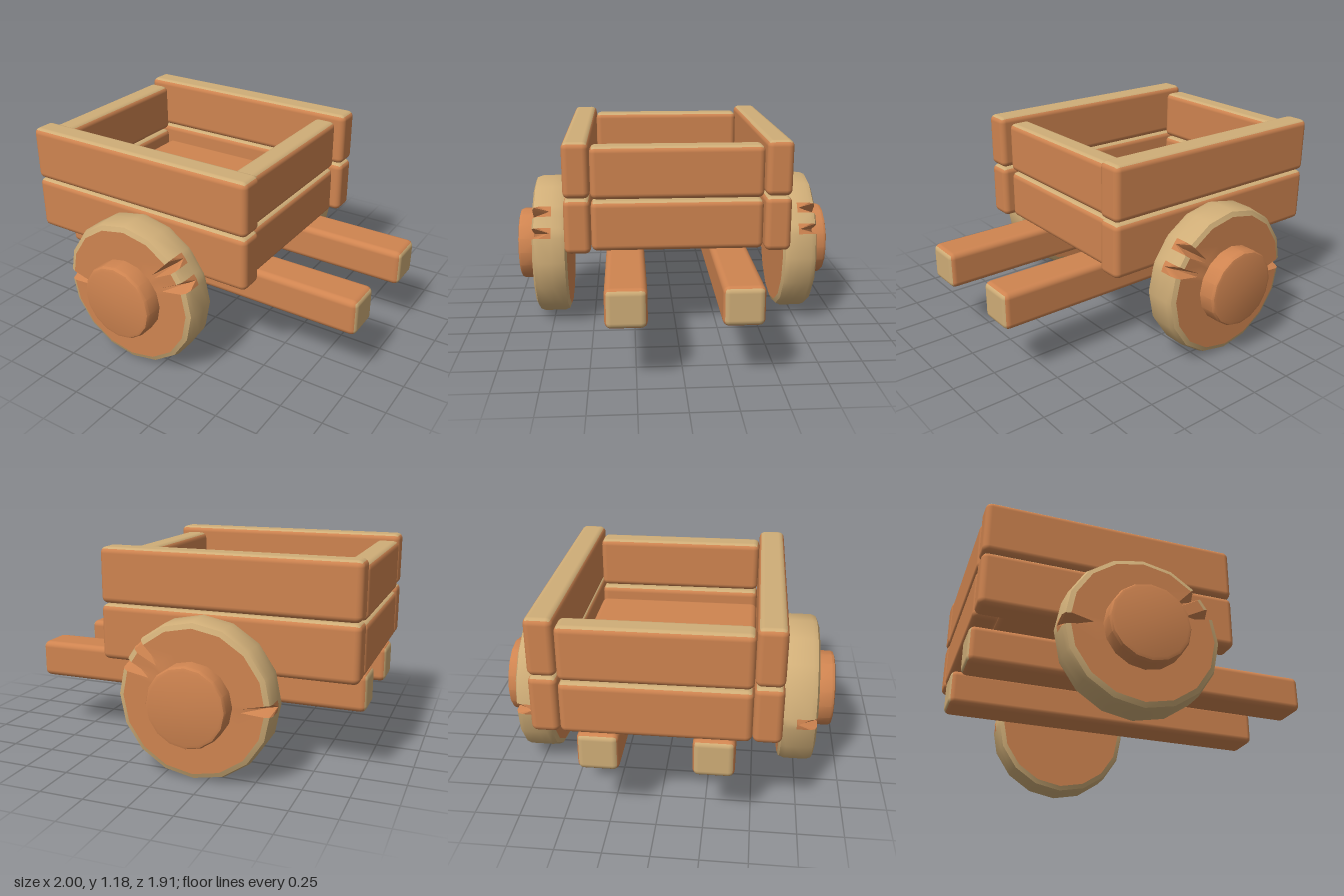
import * as THREE from 'three';
import { toCreasedNormals } from 'three/addons/utils/BufferGeometryUtils.js';
import { RoundedBoxGeometry } from 'three/addons/geometries/RoundedBoxGeometry.js';

const wood = new THREE.MeshStandardMaterial({ color: 0xcf8450 });
wood.name = 'brown wood';
const cutWood = new THREE.MeshStandardMaterial({ color: 0xcfad77 });
cutWood.name = 'pale cut wood';

// Rounded plank from min/max corners; cut lists the pale faces (+x -x +y -y +z -z)
function plank(name, [x0, x1], [y0, y1], [z0, z1], cut = []) {
  const geo = new RoundedBoxGeometry(x1 - x0, y1 - y0, z1 - z0, 3, 0.035);
  const mats = [0, 1, 2, 3, 4, 5].map((i) => (cut.includes(i) ? cutWood : wood));
  const mesh = new THREE.Mesh(geo, mats);
  mesh.name = name;
  mesh.position.set((x0 + x1) / 2, (y0 + y1) / 2, (z0 + z1) / 2);
  return mesh;
}

const SIDES = 16, STEP = (Math.PI * 2) / SIDES;
const NOTCHES = [24, 42, 180].map(THREE.MathUtils.degToRad);
const HALF = 0.075; // half angle of a notch

// Sixteen-sided wheel with three splits in its outer face; s is +1 or -1 along z
function wheel(s) {
  // rings from the inner face to the outer face: radius, z, notch depth
  const rings = [
    [0.001, 0, 0], [0.395, 0, 0], [0.422, 0.012, 0], [0.433, 0.04, 0], [0.433, 0.09, 0],
    [0.433, 0.165, 0.065], [0.422, 0.193, 0.085], [0.395, 0.205, 0.08], [0.27, 0.205, 0], [0.001, 0.205, 0],
  ];
  // columns: polygon corners plus three per notch
  const columns = [];
  for (let i = 0; i < SIDES; i++) {
    const a = i * STEP;
    if (!NOTCHES.some((n) => Math.abs(n - a) < HALF + 0.01)) columns.push({ a, deep: false });
  }
  for (const n of NOTCHES) {
    for (const k of [-1, 0, 1]) columns.push({ a: n + k * HALF, deep: k === 0 });
  }
  columns.sort((p, q) => p.a - q.a);

  const pos = [], rim = [], faces = [], n = columns.length;
  rings.forEach(([r, z, depth]) => {
    for (const { a, deep } of columns) {
      const off = (a % STEP) - STEP / 2;
      const rr = (r * Math.cos(STEP / 2)) / Math.cos(off);
      pos.push(rr * Math.cos(a), rr * Math.sin(a), s * (z - (deep ? depth : 0)));
    }
  });
  for (let j = 0; j < rings.length - 1; j++) {
    for (let i = 0; i < n; i++) {
      const k = (i + 1) % n;
      const a = j * n + i, b = j * n + k, c = a + n, d = b + n;
      const split = (columns[i].deep || columns[k].deep) && j >= 4;
      const list = j >= 1 && j <= 6 && !split ? rim : faces;
      if (s > 0) list.push(a, b, d, a, d, c);
      else list.push(a, d, b, a, c, d);
    }
  }
  const group = new THREE.Group();
  for (const [name, index, mat] of [['wheelRim', rim, cutWood], ['wheelFaces', faces, wood]]) {
    const geo = new THREE.BufferGeometry();
    geo.setAttribute('position', new THREE.Float32BufferAttribute(pos, 3));
    geo.setIndex(index);
    const mesh = new THREE.Mesh(toCreasedNormals(geo, 0.6), mat);
    mesh.name = name;
    group.add(mesh);
  }

  // Hub cap with a softened outer edge
  const profile = [[0, -0.01], [0.222, -0.01], [0.222, 0.085], [0.214, 0.1], [0.198, 0.105], [0, 0.105]];
  const lathe = new THREE.LatheGeometry(profile.map(([x, y]) => new THREE.Vector2(x, y)), SIDES);
  const hub = new THREE.Mesh(toCreasedNormals(lathe, 0.6), wood);
  hub.name = 'hub';
  hub.rotation.x = (s * Math.PI) / 2;
  hub.position.z = s * 0.205;
  group.add(hub);
  return group;
}

export function createModel() {
  const cart = new THREE.Group();
  cart.name = 'cart';

  // Cart bed
  cart.add(plank('floor', [-0.85, 0.265], [0.6, 0.77], [-0.49, 0.49]));

  // Two courses of boards at each end
  for (const [y0, y1] of [[0.55, 0.84], [0.85, 1.15]]) {
    cart.add(plank('rearBoard', [-1, -0.86], [y0, y1], [-0.49, 0.49], [2]));
    cart.add(plank('frontBoard', [0.265, 0.405], [y0, y1], [-0.49, 0.49], [2]));
  }

  // Side boards, shafts and wheels, mirrored across z
  for (const s of [1, -1]) {
    const span = (a, b) => (s > 0 ? [a, b] : [-b, -a]);
    for (const [y0, y1] of [[0.55, 0.865], [0.87, 1.185]]) {
      cart.add(plank('sideBoard', [-1, 0.455], [y0, y1], span(0.49, 0.64), [2]));
    }
    cart.add(plank('shaft', [-1, 1], [0.33, 0.545], span(0.19, 0.41), [0, 1]));
    const w = wheel(s);
    w.name = s > 0 ? 'frontWheel' : 'backWheel';
    w.position.set(-0.18, 0.433, s * 0.645);
    cart.add(w);
  }
  return cart;
}
